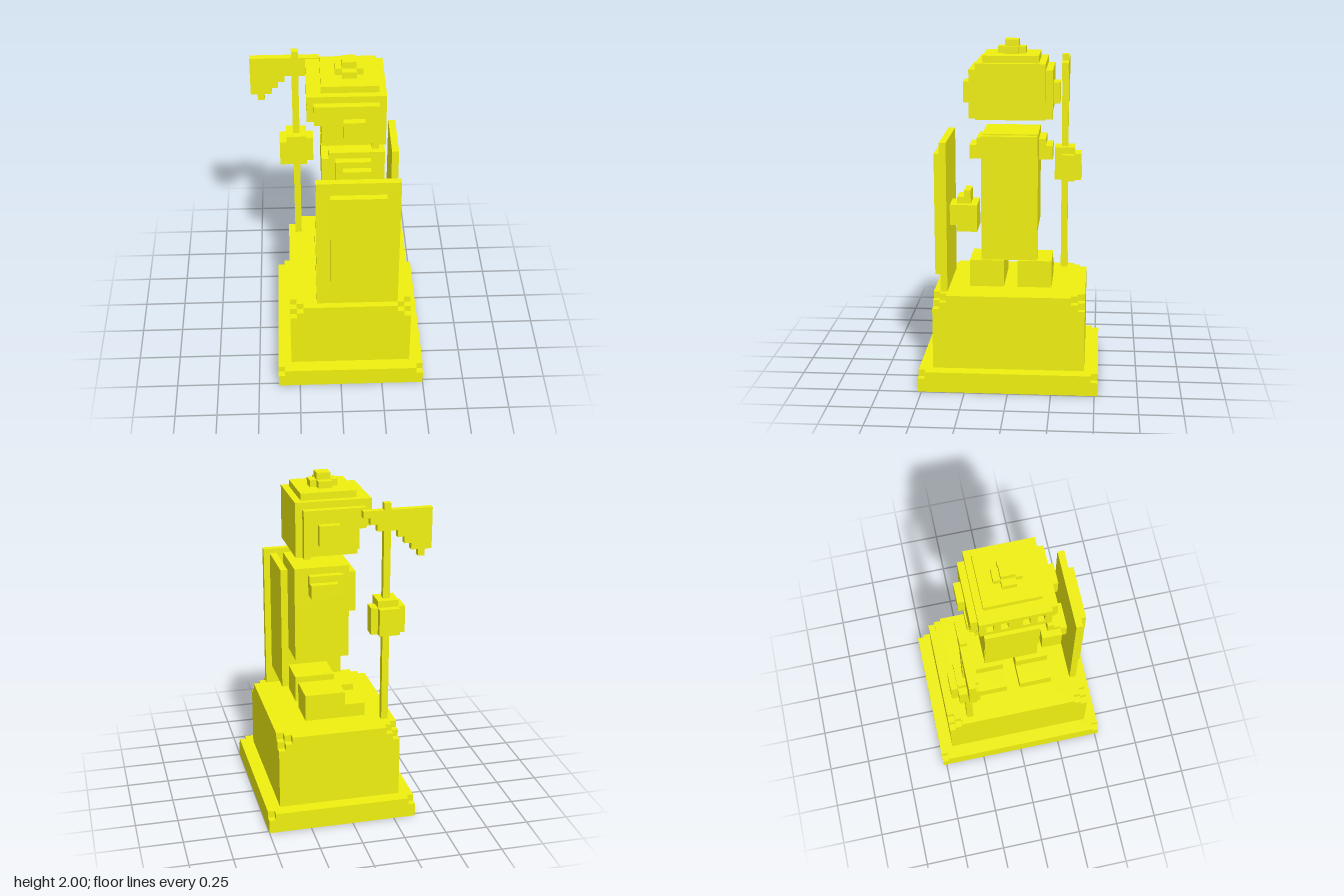
import * as THREE from 'three';

const material = new THREE.MeshStandardMaterial({ color: 0xf0f010, flatShading: true });

// Adds a box given by its bounds [x0, x1], [y0, y1], [z0, z1]
function block(parent, [x0, x1], [y0, y1], [z0, z1]) {
  const mesh = new THREE.Mesh(new THREE.BoxGeometry(x1 - x0, y1 - y0, z1 - z0), material);
  mesh.position.set((x0 + x1) / 2, (y0 + y1) / 2, (z0 + z1) / 2);
  mesh.name = parent.name + 'Block';
  parent.add(mesh);
}

// A block with its twin mirrored across z
function pair(parent, x, y, [z0, z1]) {
  block(parent, x, y, [z0, z1]);
  block(parent, x, y, [-z1, -z0]);
}

// A slab centred on z = 0 whose four corners are stepped away by n cells
function notchedLayer(parent, [x0, x1], y, depth, n, cell) {
  for (let i = 0; i <= n; i++) {
    const a = i * cell, b = (n - i) * cell;
    block(parent, [x0 + a, x1 - a], y, [-depth + b, depth - b]);
  }
}

export function createModel() {
  const model = new THREE.Group();
  model.name = 'guardStatue';
  const V = 0.04;
  const part = (name) => {
    const g = new THREE.Group();
    g.name = name;
    model.add(g);
    return g;
  };

  // Base slab and plinth with chipped upper corners
  const base = part('baseSlab');
  notchedLayer(base, [-0.38, 0.5], [0, 0.08], 0.52, 0, V);
  notchedLayer(base, [-0.38, 0.5], [0.08, 0.12], 0.52, 1, V);
  const plinth = part('plinth');
  notchedLayer(plinth, [-0.3, 0.42], [0.12, 0.48], 0.44, 0, V);
  notchedLayer(plinth, [-0.3, 0.42], [0.48, 0.52], 0.44, 1, V);
  notchedLayer(plinth, [-0.3, 0.42], [0.52, 0.56], 0.44, 2, V);

  // Feet, toes towards -x
  const feet = part('feet');
  pair(feet, [-0.02, 0.22], [0.56, 0.72], [0.04, 0.24]);
  pair(feet, [-0.14, -0.02], [0.56, 0.64], [0.04, 0.24]);

  // Torso with collar and shoulder pads
  const torso = part('torso');
  block(torso, [-0.06, 0.26], [0.92, 1.2], [-0.16, 0.16]);
  block(torso, [-0.1, 0.26], [1.2, 1.44], [-0.16, 0.16]);
  block(torso, [-0.06, 0.26], [1.44, 1.48], [-0.16, 0.16]);
  const shoulders = part('shoulderPads');
  pair(shoulders, [-0.02, 0.18], [1.32, 1.44], [0.16, 0.2]);
  pair(shoulders, [0.02, 0.18], [1.32, 1.4], [0.2, 0.24]);

  // Cape hanging behind the torso
  block(part('cape'), [0.3, 0.34], [0.76, 1.48], [-0.16, 0.16]);

  // Helmet
  const helmet = part('helmet');
  block(helmet, [-0.1, 0.26], [1.56, 1.72], [-0.2, 0.2]);
  block(helmet, [-0.1, 0.22], [1.6, 1.72], [-0.24, 0.24]);
  block(helmet, [0.18, 0.22], [1.56, 1.6], [-0.24, 0.24]);
  block(helmet, [-0.14, 0.22], [1.72, 1.84], [-0.24, 0.24]);
  block(helmet, [-0.14, 0.26], [1.72, 1.88], [-0.2, 0.2]);
  block(helmet, [-0.1, 0.22], [1.88, 1.92], [-0.16, 0.16]);
  pair(helmet, [0.02, 0.14], [1.64, 1.76], [0.24, 0.28]);

  // Visor with four slits between upright bars
  const visor = part('visor');
  block(visor, [-0.18, -0.14], [1.72, 1.76], [-0.2, 0.2]);
  block(visor, [-0.18, -0.14], [1.84, 1.88], [-0.2, 0.2]);
  block(visor, [-0.18, -0.14], [1.76, 1.84], [-0.04, 0.04]);
  for (const z of [0.08, 0.16]) pair(visor, [-0.18, -0.14], [1.76, 1.84], [z, z + V]);

  // Crest knob
  const crest = part('crest');
  block(crest, [-0.02, 0.14], [1.92, 1.96], [-0.04, 0.04]);
  block(crest, [0.02, 0.1], [1.92, 1.96], [-0.08, 0.08]);
  block(crest, [0.02, 0.1], [1.96, 2], [-0.04, 0.04]);

  // Tall shield with raised panel
  const shield = part('shield');
  block(shield, [-0.14, 0.34], [0.56, 1.44], [0.36, 0.4]);
  block(shield, [-0.06, 0.26], [0.64, 1.36], [0.4, 0.44]);

  // Hand gripping the shield
  const shieldHand = part('shieldHand');
  block(shieldHand, [-0.02, 0.18], [0.88, 1.04], [0.2, 0.32]);
  block(shieldHand, [0.02, 0.18], [0.92, 1.04], [0.32, 0.36]);
  block(shieldHand, [0.02, 0.14], [1.04, 1.12], [0.24, 0.28]);
  block(shieldHand, [0.02, 0.14], [1.04, 1.08], [0.28, 0.32]);

  // Pole with stepped blade: lower edge of each column, from the tip inwards
  const pole = [-0.32, -0.28];
  block(part('pole'), [-0.26, -0.22], [0.56, 1.88], pole);
  const blade = part('blade');
  [1.6, 1.56, 1.6, 1.64, 1.68, 1.72, 1.72, 1.72, 1.76, 1.8].forEach((bottom, i) => {
    const x = -0.5 + i * V;
    block(blade, [x, x + V], [bottom, 1.84], pole);
  });

  // Hand around the pole
  const poleHand = part('poleHand');
  block(poleHand, [-0.34, -0.18], [1.12, 1.28], [-0.36, -0.24]);
  block(poleHand, [-0.18, -0.14], [1.12, 1.28], [-0.36, -0.28]);
  block(poleHand, [-0.3, -0.18], [1.12, 1.28], [-0.4, -0.36]);
  block(poleHand, [-0.3, -0.18], [1.28, 1.32], [-0.36, -0.24]);

  return model;
}
